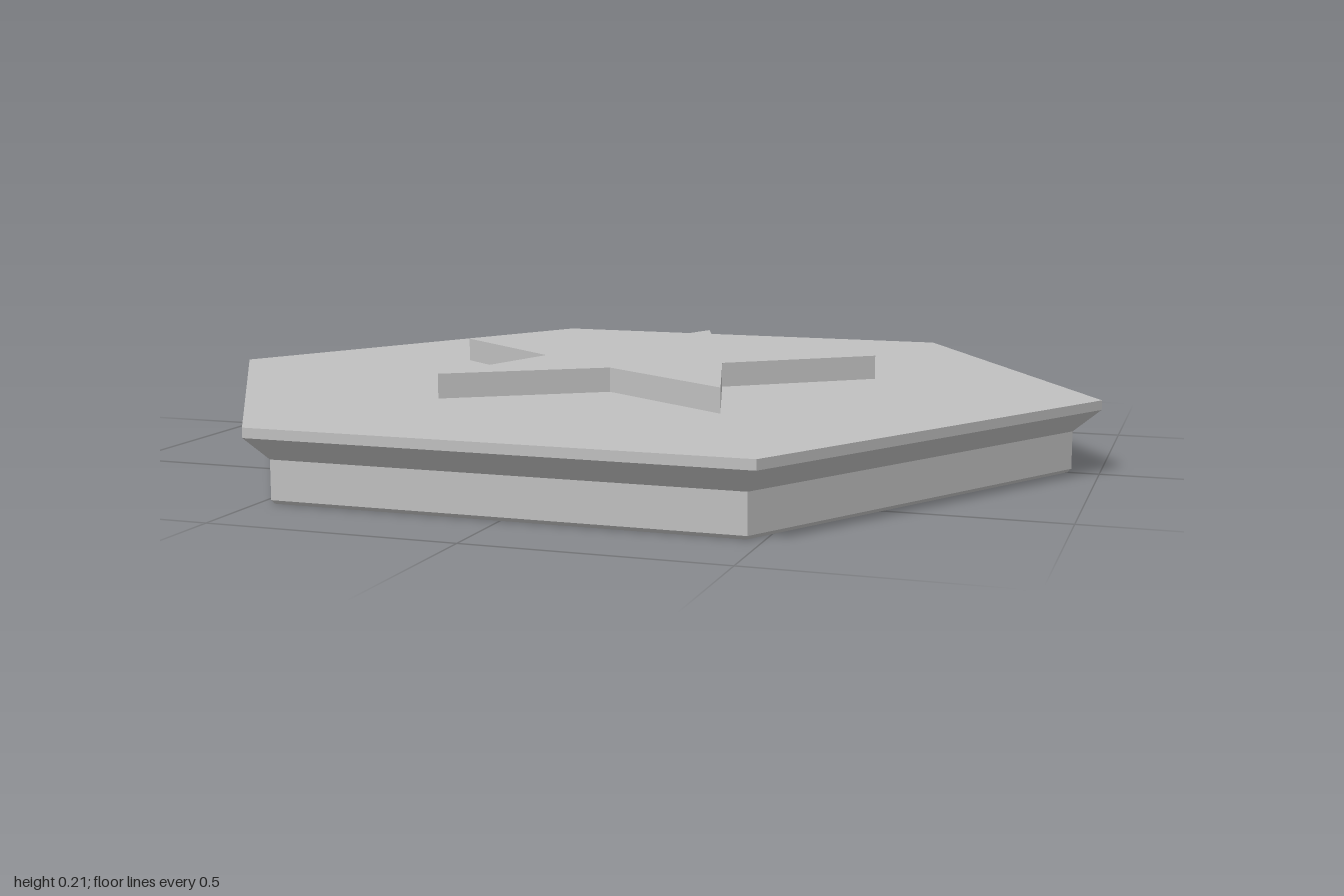
import * as THREE from 'three';

const grey = new THREE.MeshStandardMaterial({ color: 0xc0c0c0, flatShading: true });
grey.name = 'plain grey';

const TOP = 0.155;
const STAR_HEIGHT = 0.052;

// Six-sided solid turned from a [radius, height] profile, corners on the x axis
function hexSolid(name, profile) {
  const points = profile.map(([r, y]) => new THREE.Vector2(r, y));
  const mesh = new THREE.Mesh(new THREE.LatheGeometry(points, 6, Math.PI / 2), grey);
  mesh.name = name;
  return mesh;
}

// Raised five-pointed star, one tip toward the back
function star(outer, inner) {
  const points = [];
  for (let i = 0; i < 10; i++) {
    const r = i % 2 ? inner : outer;
    const a = Math.PI / 2 + (i * Math.PI) / 5;
    points.push(new THREE.Vector2(r * Math.cos(a), r * Math.sin(a)));
  }
  const geometry = new THREE.ExtrudeGeometry(new THREE.Shape(points), {
    depth: STAR_HEIGHT,
    bevelEnabled: false,
  });
  geometry.rotateX(-Math.PI / 2);
  const mesh = new THREE.Mesh(geometry, grey);
  mesh.name = 'raisedStar';
  mesh.position.y = TOP;
  return mesh;
}

export function createModel() {
  const model = new THREE.Group();
  model.name = 'hexagonalStarTile';

  // Plinth with a fine bottom chamfer, a sloped underside and a thin rim
  model.add(hexSolid('hexBase', [
    [0, 0], [0.935, 0], [0.943, 0.008], [0.943, 0.087],
    [1, 0.135], [1, TOP], [0, TOP],
  ]));
  model.add(star(0.518, 0.215));
  return model;
}
